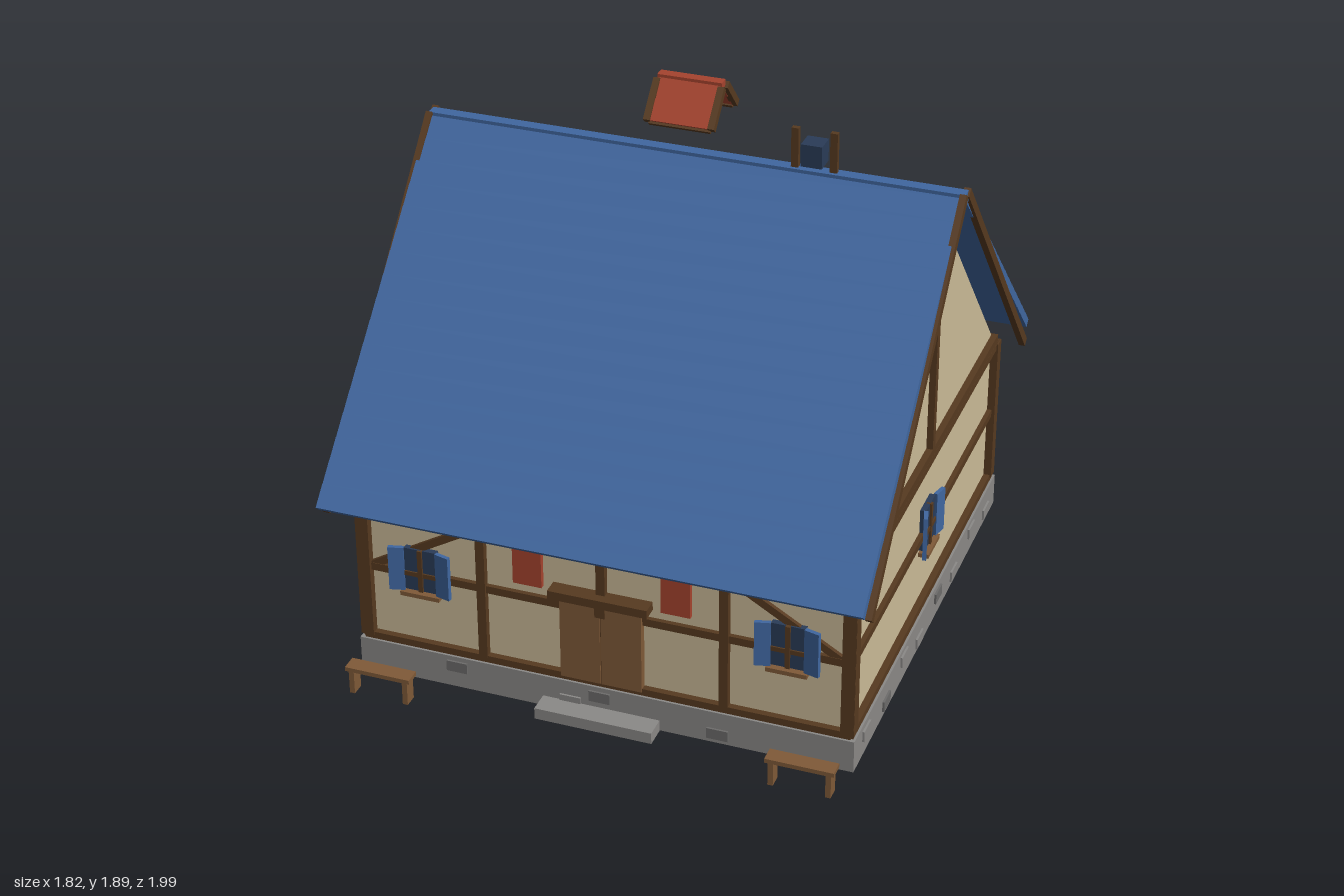
import * as THREE from 'three';

const paint = (name, color, side = THREE.FrontSide) => {
  const m = new THREE.MeshStandardMaterial({ color, side });
  m.name = name;
  return m;
};

export function createModel() {
  const model = new THREE.Group();
  model.name = 'halfTimberedHouse';
  const plaster = paint('plaster', 0xcbbb98, THREE.DoubleSide);
  const timber = paint('darkTimber', 0x573a20);
  const wood = paint('lightWood', 0x805a38);
  const blue = paint('blueTiles', 0x4067a0);
  const navy = paint('darkGlass', 0x2a3c58);
  const red = paint('redPaint', 0xa6432e);
  const stone = paint('stone', 0x8b8987);
  const darkStone = paint('darkStone', 0x6d6c6b);

  // box given by its centre and size
  const box = (parent, name, mat, [x, y, z], [w, h, d]) => {
    const m = new THREE.Mesh(new THREE.BoxGeometry(w, h, d), mat);
    m.name = name;
    m.position.set(x, y, z);
    parent.add(m);
    return m;
  };
  const group = (name, parent = model) => {
    const g = new THREE.Group();
    g.name = name;
    parent.add(g);
    return g;
  };
  // slanted bar between two points of the z-y plane
  const slope = (parent, name, mat, x, w, thick, [z0, y0], [z1, y1], tilt = 0) => {
    const len = Math.hypot(z1 - z0, y1 - y0);
    const m = box(parent, name, mat, [x, (y0 + y1) / 2, (z0 + z1) / 2], [w, thick, len]);
    m.rotation.x = Math.atan2(y0 - y1, z1 - z0) + tilt;
    return m;
  };

  // plinth and step
  box(model, 'plinth', stone, [0, 0.0575, 0], [1.69, 0.115, 1.69]);
  box(model, 'doorStep', stone, [0, 0.02, 0.885], [0.4, 0.04, 0.075]);

  // raised stones on each side of the plinth
  const frontStones = [[-0.5, 0.08, 1], [-0.005, 0.08, 1], [0.395, 0.035, 1], [-0.105, 0.043, 0]];
  const otherStones = [[-0.72, 0.075, 0], [-0.5, 0.04, 1], [-0.3, 0.08, 0], [-0.12, 0.035, 0],
    [0.1, 0.075, 1], [0.3, 0.04, 0], [0.52, 0.08, 0], [0.72, 0.04, 0]];
  for (let side = 0; side < 4; side++) {
    const g = group('plinthStones');
    g.rotation.y = side * Math.PI / 2;
    for (const [x, y, dark] of side ? otherStones : frontStones)
      box(g, 'plinthStone', dark ? darkStone : stone, [x, y, 0.846], [0.072, 0.038, 0.012]);
  }

  // plastered walls
  box(model, 'walls', plaster, [0, 0.392, 0], [1.63, 0.556, 1.63]);

  // window with shutters, facing +z at the wall plane
  const addWindow = (parent, x) => {
    const g = group('window', parent);
    g.position.set(x, 0.41, 0.82);
    box(g, 'glass', navy, [0, 0.005, 0.005], [0.112, 0.155, 0.02]);
    box(g, 'mullion', timber, [0, 0.005, 0.012], [0.016, 0.155, 0.02]);
    box(g, 'crossbar', timber, [0, -0.01, 0.011], [0.112, 0.016, 0.018]);
    box(g, 'windowSill', wood, [0, -0.083, 0.015], [0.136, 0.015, 0.035]);
    for (const s of [-1, 1]) {
      const shutter = box(g, 'shutter', blue, [s * 0.081, 0.005, 0.022], [0.052, 0.16, 0.014]);
      shutter.rotation.y = -s * 0.25;
    }
  };

  // timber frame of the four sides
  for (let side = 0; side < 4; side++) {
    const g = group('wallFrame');
    g.rotation.y = side * Math.PI / 2;
    box(g, 'sillBeam', timber, [0, 0.127, 0.822], [1.66, 0.026, 0.03]);
    box(g, 'middleRail', timber, [0, 0.393, 0.818], [1.62, 0.027, 0.026]);
    box(g, 'topPlate', timber, [0, 0.662, 0.822], [1.66, 0.026, 0.03]);
    for (const s of [-1, 1])
      box(g, 'cornerPost', timber, [s * 0.819, 0.4, 0.824], [0.044, 0.54, 0.036]);
    if (side % 2) { // gable sides
      box(g, 'gableBeam', timber, [0, 0.69, 0.822], [1.62, 0.028, 0.03]);
      box(g, 'gablePost', timber, [0, 1.12, 0.822], [0.028, 0.88, 0.03]);
      addWindow(g, 0);
      const shape = new THREE.Shape([[-0.82, 0.68], [0.82, 0.68], [0, 1.58]]
        .map(p => new THREE.Vector2(...p)));
      const gable = new THREE.Mesh(
        new THREE.ExtrudeGeometry(shape, { depth: 0.02, bevelEnabled: false }), plaster);
      gable.name = 'gableWall';
      gable.position.z = 0.795;
      g.add(gable);
    } else { // long sides
      for (const x of [-0.41, 0, 0.41])
        box(g, 'wallPost', timber, [x, 0.4, 0.823], [0.03, 0.53, 0.03]);
      for (const s of [-1, 1]) {
        const brace = box(g, 'brace', timber, [s * 0.585, 0.52, 0.817], [0.5, 0.026, 0.024]);
        brace.rotation.z = -s * 0.53;
      }
      for (const x of side ? [-0.615, -0.205, 0.205, 0.615] : [-0.62, 0.62]) addWindow(g, x);
    }
  }

  // double door, lintel and banners
  for (const s of [-1, 1]) {
    box(model, 'doorLeaf', wood, [s * 0.07, 0.285, 0.827], [0.136, 0.31, 0.032]);
    box(model, 'banner', red, [s * 0.25, 0.538, 0.825], [0.098, 0.188, 0.018]);
  }
  box(model, 'doorPost', timber, [0, 0.41, 0.838], [0.034, 0.05, 0.02]);
  box(model, 'doorLintel', timber, [0, 0.45, 0.84], [0.335, 0.03, 0.06]);

  // main roof: overlapping rows, verge boards and ridge
  const rows = 17;
  const roof = group('roof');
  for (const s of [-1, 1]) {
    const at = t => [s * (0.015 + 0.962 * t), 1.615 - 0.94 * t];
    for (let i = 0; i < rows; i++) {
      const [a, b] = [at(i / rows), at((i + 1) / rows)];
      // the back slope runs upwards so that the bar is never upside down
      if (s > 0) slope(roof, 'roofRow', blue, 0, 1.8, 0.03, a, b, 0.025);
      else slope(roof, 'roofRow', blue, 0, 1.8, 0.03, b, a, -0.025);
    }
    for (const x of [-0.9, 0.9])
      slope(roof, 'vergeBoard', timber, x, 0.022, 0.03, [s * 0.015, 1.63], [s * 0.92, 0.63]);
  }
  box(roof, 'ridgeCap', blue, [0, 1.615, 0], [1.81, 0.04, 0.042]);

  // small vent on the ridge
  const vent = group('ridgeVent');
  box(vent, 'ventBox', navy, [0.41, 1.692, 0], [0.07, 0.076, 0.07]);
  for (const x of [0.347, 0.475])
    box(vent, 'ventPost', timber, [x, 1.69, 0], [0.024, 0.16, 0.018]);

  // small red roof above the ridge
  const cap = group('smallRoof');
  for (const s of [-1, 1]) {
    const at = t => [s * (0.01 + 0.1 * t), 1.872 - 0.104 * t];
    for (const i of [0, 1])
      slope(cap, 'smallRoofRow', red, 0, 0.205, 0.018, at(i / 2), at((i + 1) / 2), s * 0.05);
    for (const x of [-0.107, 0.107])
      slope(cap, 'smallVergeBoard', timber, x, 0.022, 0.024, [s * 0.016, 1.872], [s * 0.113, 1.768]);
    slope(cap, 'eaveBoard', timber, 0, 0.205, 0.014, [s * 0.098, 1.769], [s * 0.11, 1.757]);
  }
  box(cap, 'smallRidge', red, [0, 1.878, 0], [0.215, 0.022, 0.036]);

  // benches
  for (const s of [-1, 1]) {
    const bench = group('bench');
    bench.position.set(s * 0.715, 0, 0.972);
    box(bench, 'seat', wood, [0, 0.093, 0], [0.226, 0.015, 0.056]);
    for (const x of [-0.094, 0.094])
      box(bench, 'leg', wood, [x, 0.043, 0], [0.018, 0.086, 0.046]);
  }
  return model;
}
